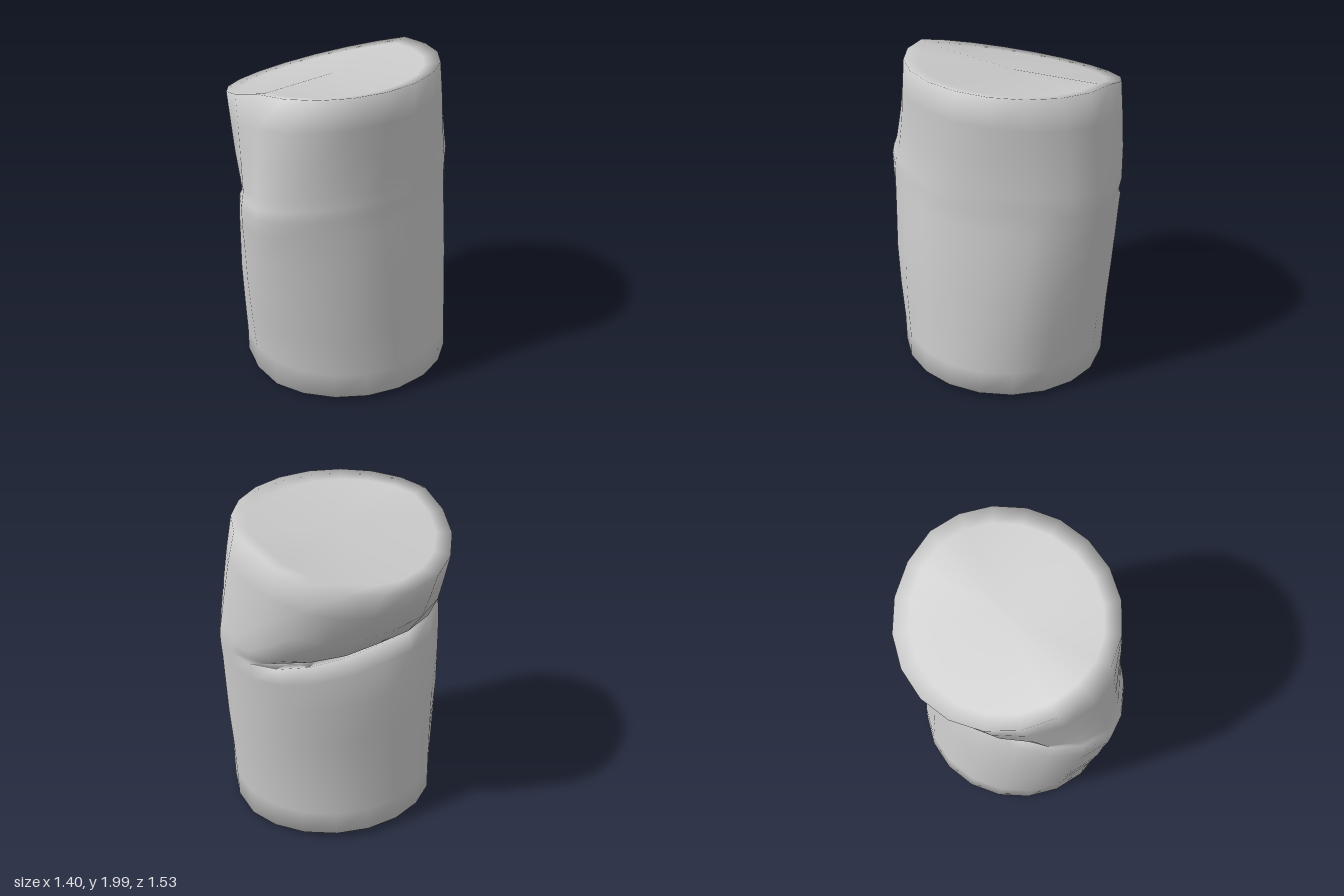
import * as THREE from 'three';

const SIDES = 20;
const DENT_ANGLE = Math.PI + 0.25; // the fold is deepest on the -x side, slightly to the back

// Cross-sections from the underside to the top:
// [xLow, xMid, xHigh, yLow, yMid, yHigh, zBack, zFront, dent, skew]
// Low / High are the -x / +x ends, Mid is where the ring reaches its z extremes.
// skew flattens the front +x quarter and fills out the back -x quarter.
const rings = [
  [-0.54, 0.04, 0.62, 0.075, 0.035, 0.065, -0.60, 0.55, 0, 0], // underside, slightly recessed
  [-0.62, 0.04, 0.70, 0.06, 0.01, 0.05, -0.68, 0.62, 0, 0], // bottom rim
  [-0.605, 0.04, 0.685, 0.20, 0.20, 0.20, -0.69, 0.63, 0, 0],
  [-0.57, 0.04, 0.66, 0.46, 0.46, 0.46, -0.71, 0.67, 0, 0],
  [-0.54, 0.05, 0.64, 0.72, 0.72, 0.72, -0.73, 0.71, 0, 0.01],
  [-0.50, 0.05, 0.615, 0.95, 0.97, 0.97, -0.745, 0.735, 0, 0.02],
  [-0.46, 0.05, 0.595, 1.14, 1.15, 1.16, -0.755, 0.76, 0.02, 0.03],
  [-0.43, 0.05, 0.585, 1.25, 1.26, 1.27, -0.765, 0.77, 0.05, 0.035], // lower lip of the fold
  [-0.44, 0.05, 0.588, 1.26, 1.32, 1.34, -0.765, 0.755, 0.27, 0.035], // crease
  [-0.46, 0.04, 0.577, 1.28, 1.38, 1.41, -0.76, 0.735, 0.06, 0.035], // upper lip of the fold
  [-0.56, 0.02, 0.57, 1.43, 1.57, 1.60, -0.735, 0.70, 0, 0.03],
  [-0.64, -0.01, 0.565, 1.60, 1.77, 1.81, -0.71, 0.665, 0, 0.015],
  [-0.705, -0.05, 0.56, 1.75, 1.965, 2.00, -0.68, 0.63, 0, 0], // top rim
  [-0.60, -0.05, 0.46, 1.77, 1.945, 1.97, -0.59, 0.54, 0, 0], // shallow lid
];

function ringPoint([xl, xm, xh, yl, ym, yh, zb, zf, dent, skew], a) {
  const c = Math.cos(a), s = Math.sin(a), t = Math.abs(c);
  const push = dent * Math.max(0, Math.cos(a - DENT_ANGLE)) ** 3;
  const shift = skew * Math.abs(Math.sin(2 * a));
  return [
    xm + ((c < 0 ? xl : xh) - xm) * t + push - shift,
    ym + ((c < 0 ? yl : yh) - ym) * t - push * 0.4,
    (zb + zf) / 2 + ((zf - zb) / 2) * s - shift,
  ];
}

function crushedCanGeometry() {
  const pos = [], index = [];
  for (const ring of rings)
    for (let j = 0; j < SIDES; j++) pos.push(...ringPoint(ring, (j / SIDES) * Math.PI * 2));

  // walls and cap borders
  for (let i = 0; i < rings.length - 1; i++)
    for (let j = 0; j < SIDES; j++) {
      const k = (j + 1) % SIDES;
      const a = i * SIDES + j, b = i * SIDES + k, c = a + SIDES, d = b + SIDES;
      index.push(a, c, b, b, c, d);
    }

  // fans closing the underside and the lid
  const last = (rings.length - 1) * SIDES;
  const bottom = pos.length / 3, top = bottom + 1;
  pos.push(0.04, 0.05, -0.02, -0.06, 1.905, -0.02);
  for (let j = 0; j < SIDES; j++) {
    const k = (j + 1) % SIDES;
    index.push(bottom, j, k, top, last + k, last + j);
  }

  const geo = new THREE.BufferGeometry();
  geo.setAttribute('position', new THREE.Float32BufferAttribute(pos, 3));
  geo.setIndex(index);
  geo.computeVertexNormals();
  return geo;
}

export function createModel() {
  const group = new THREE.Group();
  group.name = 'crushedCan';
  const body = new THREE.Mesh(
    crushedCanGeometry(),
    new THREE.MeshStandardMaterial({ color: 0xcccccc, side: THREE.DoubleSide })
  );
  body.name = 'canBody';
  group.add(body);
  return group;
}
